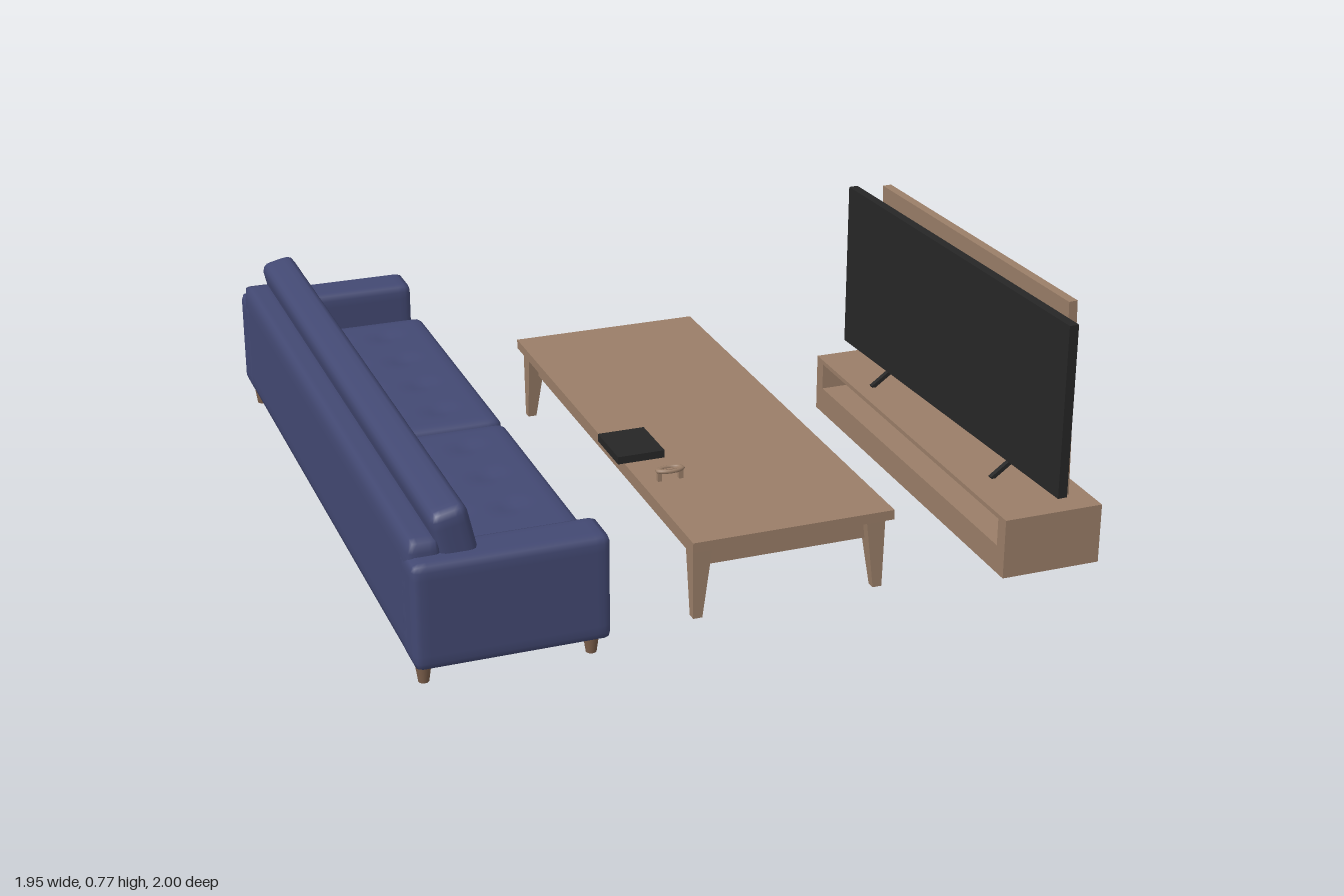
import * as THREE from 'three';
import { mergeVertices } from 'three/addons/utils/BufferGeometryUtils.js';

const mat = (name, color) => {
  const m = new THREE.MeshStandardMaterial({ color });
  m.name = name;
  return m;
};

// Rounded, finely divided box; the optional rule pushes vertices for tufting
function softBox(w, h, d, r, step = 0.03, rule = null) {
  const n = (s) => Math.max(6, Math.round(s / step));
  let g = new THREE.BoxGeometry(w, h, d, n(w), n(h), n(d));
  g.deleteAttribute('uv');
  g.deleteAttribute('normal');
  g = mergeVertices(g, 1e-5);
  const lim = new THREE.Vector3(w / 2 - r, h / 2 - r, d / 2 - r);
  const low = lim.clone().negate();
  const p = new THREE.Vector3();
  const pos = g.attributes.position;
  for (let i = 0; i < pos.count; i++) {
    p.fromBufferAttribute(pos, i);
    const c = p.clone().clamp(low, lim);
    p.sub(c).normalize().multiplyScalar(r).add(c);
    if (rule) rule(p);
    pos.setXYZ(i, p.x, p.y, p.z);
  }
  g.computeVertexNormals();
  return g;
}

// Depth of a grid of button dimples
function dimples(u, v, us, vs) {
  let s = 0;
  for (const a of us) for (const b of vs) s += Math.exp(-((u - a) ** 2 + (v - b) ** 2) / 0.0012);
  return s * 0.009;
}

// Square leg narrowing towards the floor; the foot can shift outward
function taperLeg(top, bottom, h, dx = 0, dz = 0) {
  const g = new THREE.BoxGeometry(top, h, top).toNonIndexed();
  const pos = g.attributes.position;
  const k = bottom / top;
  for (let i = 0; i < pos.count; i++) {
    if (pos.getY(i) < 0) pos.setXYZ(i, pos.getX(i) * k + dx, pos.getY(i), pos.getZ(i) * k + dz);
  }
  g.computeVertexNormals();
  return g;
}

export function createModel() {
  const model = new THREE.Group();
  const blue = mat('blue fabric', 0x434973);
  const wood = mat('light wood', 0x9a7e68);
  const legWood = mat('sofa leg wood', 0x7d604c);
  const black = mat('black plastic', 0x262626);

  const group = (name) => {
    const g = new THREE.Group();
    g.name = name;
    model.add(g);
    return g;
  };
  const add = (parent, name, geo, material, x, y, z) => {
    const m = new THREE.Mesh(geo, material);
    m.name = name;
    m.position.set(x, y, z);
    parent.add(m);
    return m;
  };
  const box = (parent, name, material, x0, x1, y0, y1, z0, z1) =>
    add(parent, name, new THREE.BoxGeometry(x1 - x0, y1 - y0, z1 - z0), material,
      (x0 + x1) / 2, (y0 + y1) / 2, (z0 + z1) / 2);

  // Sofa
  const sofa = group('sofa');
  box(sofa, 'seatBase', blue, -0.97, -0.475, 0.11, 0.2, -0.9, 0.9);
  add(sofa, 'backFrame', softBox(0.09, 0.33, 1.9, 0.02), blue, -0.935, 0.275, 0);
  const seat = softBox(0.42, 0.105, 0.865, 0.03, 0.022, (p) => {
    if (p.y > 0) p.y -= dimples(p.x, p.z, [-0.1, 0.06], [-0.3, -0.1, 0.1, 0.3]);
  });
  const backCushion = softBox(0.1, 0.29, 1.91, 0.025, 0.022, (p) => {
    if (p.x > 0) {
      const zs = [];
      for (let i = 0; i < 9; i++) zs.push(-0.8 + i * 0.2);
      p.x -= dimples(p.y, p.z, [-0.03, 0.06], zs);
    }
  });
  const back = add(sofa, 'backCushion', backCushion, blue, -0.842, 0.372, 0);
  back.rotation.z = 0.22;
  for (const s of [-1, 1]) {
    add(sofa, 'seatCushion', seat, blue, -0.65, 0.243, s * 0.437);
    add(sofa, 'arm', softBox(0.51, 0.29, 0.13, 0.018, 0.02), blue, -0.725, 0.255, s * 0.935);
    for (const x of [-0.945, -0.505]) {
      add(sofa, 'sofaLeg', new THREE.CylinderGeometry(0.024, 0.014, 0.07, 16), legWood, x, 0.085, s * 0.935);
    }
  }

  // Coffee table
  const table = group('coffeeTable');
  const cx = 0.108, cz = 0.055;
  box(table, 'tableTop', wood, -0.18, 0.397, 0.212, 0.24, -0.702, 0.812);
  for (const s of [-1, 1]) {
    box(table, 'sideApron', wood, cx + s * 0.235 - 0.01, cx + s * 0.235 + 0.01, 0.142, 0.214, cz - 0.7, cz + 0.7);
    box(table, 'endApron', wood, cx - 0.235, cx + 0.235, 0.142, 0.214, cz + s * 0.69 - 0.01, cz + s * 0.69 + 0.01);
    for (const t of [-1, 1]) {
      add(table, 'tableLeg', taperLeg(0.056, 0.026, 0.214, s * 0.012, t * 0.012), wood,
        cx + s * 0.249, 0.107, cz + t * 0.7);
    }
  }

  // Things on the table
  box(table, 'book', black, -0.198, -0.06, 0.24, 0.262, 0.113, 0.283);
  const trinket = new THREE.Group();
  trinket.name = 'trinket';
  table.add(trinket);
  const ring = new THREE.TorusGeometry(0.018, 0.006, 8, 24);
  ring.rotateX(Math.PI / 2);
  ring.scale(1.8, 1, 0.85);
  add(trinket, 'ring', ring, wood, -0.097, 0.27, 0.422);
  box(trinket, 'ringBar', wood, -0.125, -0.07, 0.262, 0.272, 0.418, 0.426);
  for (const x of [-0.128, -0.066]) box(trinket, 'ringFoot', wood, x - 0.006, x + 0.006, 0.24, 0.268, 0.416, 0.428);

  // Low cabinet with an open shelf running through it
  const cabinet = group('screenCabinet');
  box(cabinet, 'cabinetBody', wood, 0.682, 0.974, 0.03, 0.11, -0.338, 0.908);
  box(cabinet, 'cabinetTop', wood, 0.682, 0.974, 0.19, 0.203, -0.338, 0.908);
  box(cabinet, 'cabinetEnd', wood, 0.682, 0.974, 0.11, 0.19, -0.338, -0.295);
  box(cabinet, 'cabinetEnd', wood, 0.682, 0.974, 0.11, 0.19, 0.865, 0.908);

  // Screen, turned slightly
  const screen = group('screen');
  screen.position.set(0.816, 0.495, 0.288);
  screen.rotation.y = 0.05;
  box(screen, 'screenPanel', black, -0.014, 0.014, -0.25, 0.25, -0.625, 0.625);
  box(screen, 'screenHousing', black, 0.01, 0.03, -0.235, 0.12, -0.45, 0.5);
  for (const z of [-0.345, 0.36]) {
    for (const s of [-1, 1]) {
      const foot = add(screen, 'screenFoot', new THREE.BoxGeometry(0.085, 0.012, 0.014), black,
        s * 0.03, -0.268, z);
      foot.rotation.z = -s * 0.6;
    }
  }

  // Wooden panel standing behind the screen
  const panel = add(model, 'backPanel', new THREE.BoxGeometry(0.026, 0.575, 1.055), wood, 0.877, 0.487, 0.295);
  panel.rotation.set(0, 0.043, 0.026);

  return model;
}
